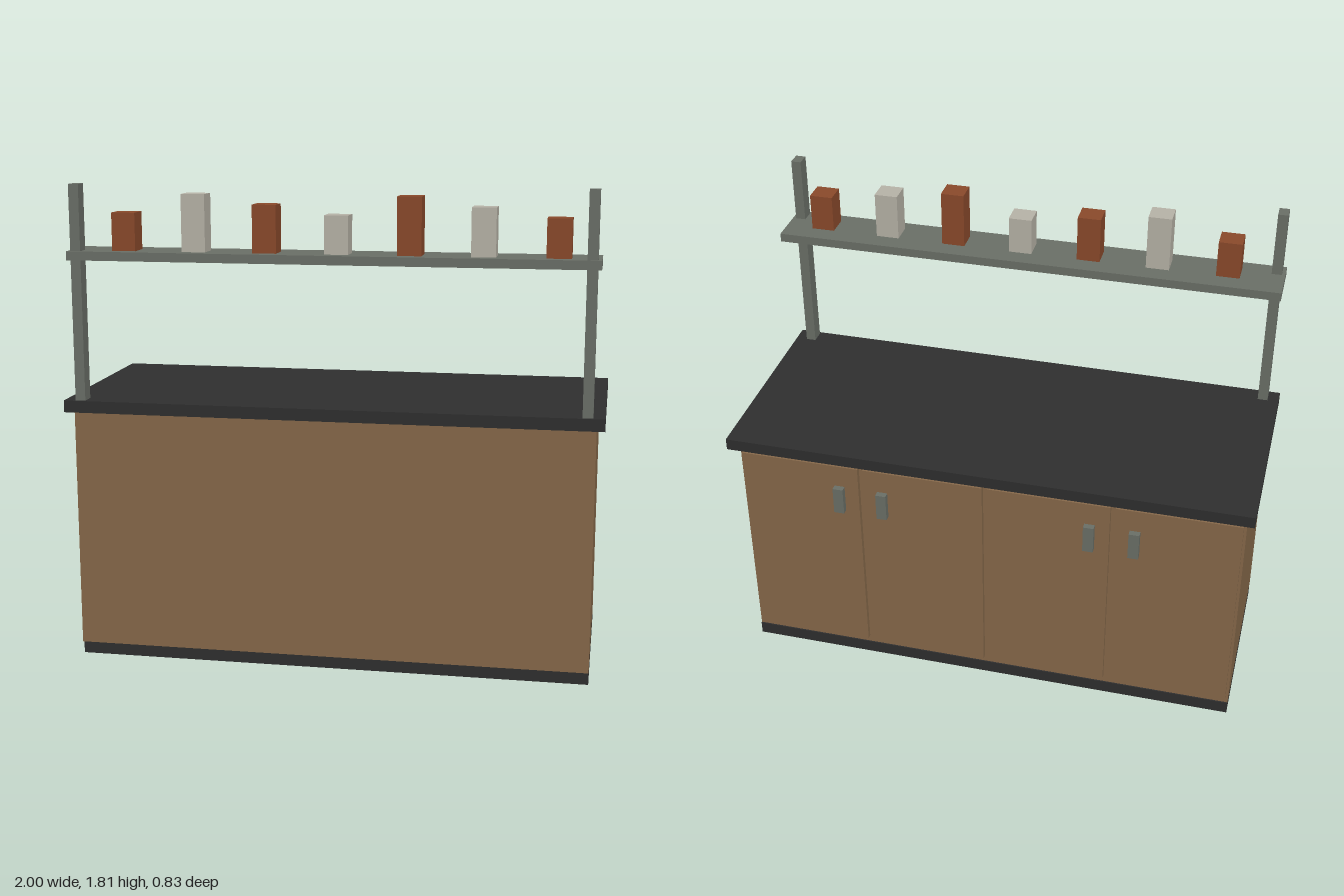
import * as THREE from 'three';

const material = (name, color) => {
  const m = new THREE.MeshStandardMaterial({ color });
  m.name = name;
  return m;
};

export function createModel() {
  const wood = material('brown wood', 0x87694a);
  const dark = material('dark stone', 0x2f2f2f);
  const metal = material('grey metal', 0x6b7068);
  const clay = material('rust', 0x8b4a2b);
  const cream = material('pale grey', 0xb8b4a8);

  const model = new THREE.Group();
  model.name = 'servingCounter';

  // Box given by its [min, max] range on each axis
  const box = (name, mat, [x0, x1], [y0, y1], [z0, z1]) => {
    const mesh = new THREE.Mesh(new THREE.BoxGeometry(x1 - x0, y1 - y0, z1 - z0), mat);
    mesh.position.set((x0 + x1) / 2, (y0 + y1) / 2, (z0 + z1) / 2);
    mesh.name = name;
    model.add(mesh);
  };
  const around = (c, width) => [c - width / 2, c + width / 2];

  // Counter
  box('plinth', dark, [-0.97, 0.97], [0, 0.05], [-0.365, 0.37]);
  box('cabinet', wood, [-0.97, 0.97], [0.05, 0.963], [-0.36, 0.385]);
  box('countertop', dark, [-1, 1], [0.963, 1.008], [-0.415, 0.415]);

  // Doors on the back, in two pairs with handles near the meeting edges
  for (const pair of [-0.485, 0.485]) {
    for (const side of [-1, 1]) {
      box('door', wood, around(pair + side * 0.2425, 0.465), [0.08, 0.93], [-0.38, -0.36]);
      box('doorHandle', metal, around(pair + side * 0.085, 0.04), [0.73, 0.84], [-0.404, -0.38]);
    }
  }

  // Overhead shelf on two posts
  for (const side of [-1, 1]) {
    box('post', metal, around(side * 0.938, 0.038), [1.008, 1.81], [0.35, 0.405]);
  }
  box('shelf', metal, [-0.97, 0.97], [1.533, 1.566], [0.21, 0.415]);

  // Row of canisters, alternating in colour, in three heights
  const heights = [0.14, 0.21, 0.175];
  for (let i = 0; i < 7; i++) {
    box('canister', i % 2 ? cream : clay, around(-0.764 + i * 0.264, 0.088),
      [1.566, 1.566 + heights[i % 3]], [0.284, 0.37]);
  }
  return model;
}
